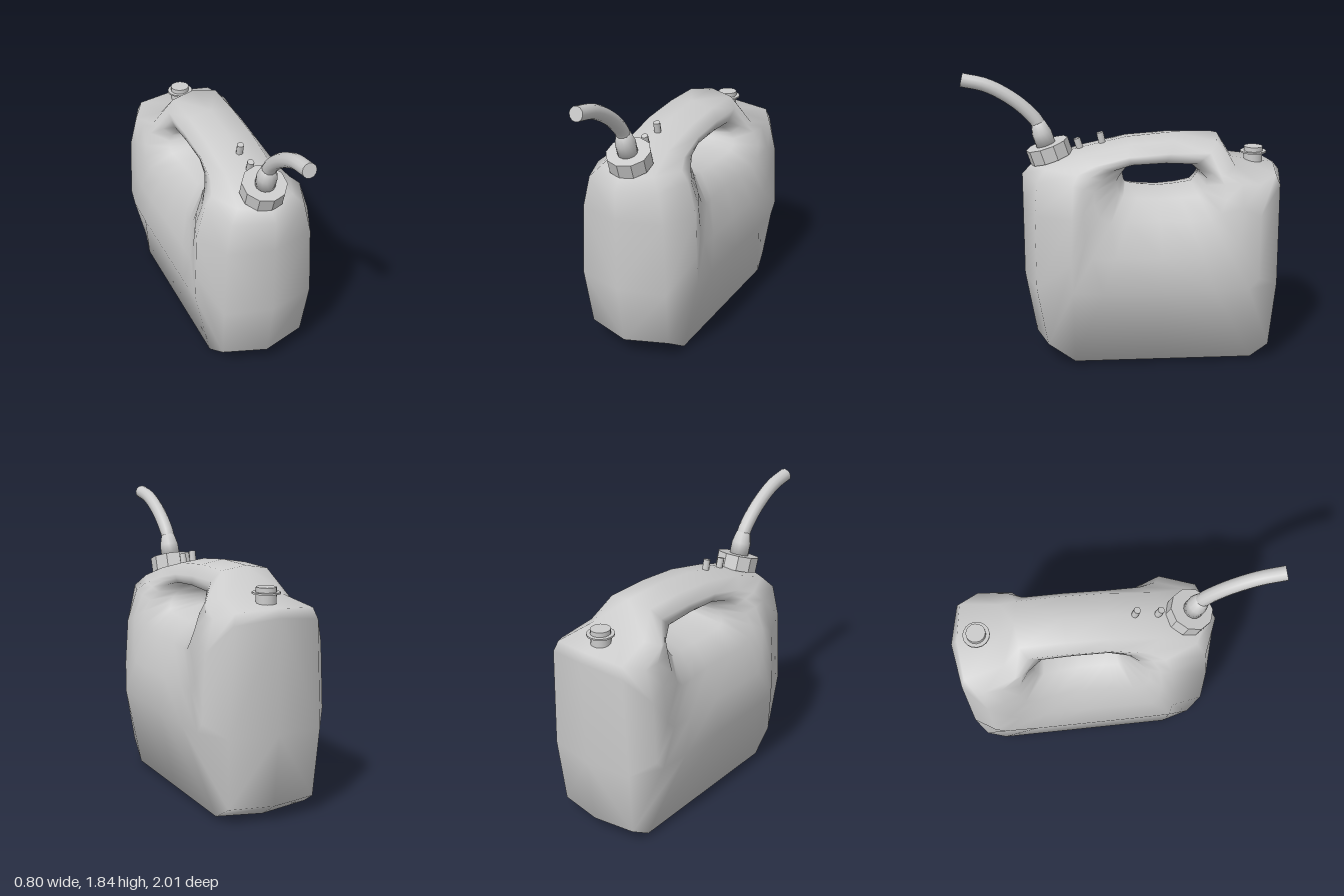
import * as THREE from 'three';

const material = new THREE.MeshStandardMaterial({ color: 0xcccccc });
const flatMaterial = new THREE.MeshStandardMaterial({ color: 0xcccccc, flatShading: true });

// Body guide loops seen from the side, all starting at the bottom middle and
// running forward, up, back and down. Spine and hole are [z, y]; others [z, y, half width].
const spine = [
  [-0.22, 0], [0.36, 0], [0.575, 0.12], [0.645, 0.53], [0.645, 1], [0.645, 1.2],
  [0.59, 1.26], [0.3, 1.36], [-0.02, 1.43], [-0.3, 1.455], [-0.59, 1.45],
  [-0.69, 1.29], [-0.96, 1.25], [-1, 1.2], [-1, 0.53], [-0.955, 0.09], [-0.82, 0],
];
const shoulder = [
  [-0.22, 0.025, 0.3], [0.33, 0.025, 0.3], [0.5, 0.14, 0.28], [0.565, 0.53, 0.3],
  [0.565, 1, 0.28], [0.55, 1.2, 0.24], [0.5, 1.27, 0.18], [0.28, 1.345, 0.15],
  [-0.02, 1.41, 0.15], [-0.3, 1.43, 0.15], [-0.57, 1.425, 0.15], [-0.68, 1.28, 0.2],
  [-0.93, 1.235, 0.25], [-0.955, 1.17, 0.27], [-0.955, 0.53, 0.3], [-0.92, 0.1, 0.28],
  [-0.8, 0.025, 0.3],
];
const side = [
  [-0.22, 0.52, 0.4], [0.15, 0.52, 0.4], [0.34, 0.53, 0.4], [0.35, 0.72, 0.395],
  [0.34, 1, 0.38], [0.33, 1.2, 0.32], [0.3, 1.25, 0.26], [0.2, 1.29, 0.22],
  [-0.02, 1.34, 0.2], [-0.28, 1.36, 0.2], [-0.53, 1.36, 0.2], [-0.62, 1.25, 0.28],
  [-0.82, 1.19, 0.33], [-0.82, 1, 0.38], [-0.82, 0.6, 0.4], [-0.76, 0.53, 0.4],
  [-0.55, 0.52, 0.4],
];
const recess = [
  [-0.22, 0.95, 0.3], [0, 0.95, 0.31], [0.1, 0.96, 0.33], [0.17, 1, 0.33],
  [0.2, 1.08, 0.32], [0.2, 1.15, 0.28], [0.15, 1.21, 0.24], [0.08, 1.26, 0.21],
  [-0.04, 1.29, 0.19], [-0.25, 1.3, 0.19], [-0.45, 1.29, 0.19], [-0.54, 1.24, 0.24],
  [-0.6, 1.19, 0.31], [-0.61, 1.1, 0.345], [-0.58, 1.02, 0.36], [-0.52, 0.97, 0.35],
  [-0.4, 0.95, 0.32],
];
const hole = [
  [-0.22, 1.11], [-0.1, 1.12], [-0.01, 1.135], [0, 1.15], [0.005, 1.175], [0.01, 1.2],
  [-0.01, 1.23], [-0.03, 1.26], [-0.05, 1.28], [-0.23, 1.285], [-0.4, 1.275],
  [-0.44, 1.24], [-0.478, 1.2], [-0.465, 1.18], [-0.45, 1.16], [-0.43, 1.135],
  [-0.33, 1.12],
];

const mix = (a, b, t) => a + (b - a) * t;

// Closed cross-section at one station: spine, right round to the hole, and back mirrored
function section(i) {
  const f = side[i], m = recess[i], h = hole[i];
  const panel = [mix(f[0], m[0], 0.5), mix(f[1], m[1], 0.5), mix(f[2], m[2], 0.35)];
  const lip = [mix(h[0], m[0], 0.25), mix(h[1], m[1], 0.25), m[2] * 0.62];
  const half = [shoulder[i], f, panel, m, lip];
  const mirrored = half.map(([z, y, x]) => [z, y, -x]).reverse();
  return [[...spine[i], 0], ...half, [...h, 0], ...mirrored];
}

function bodyGeometry() {
  const sections = spine.map((_, i) => section(i));
  const n = sections.length, k = sections[0].length;
  const positions = [], index = [];
  for (const loop of sections) for (const [z, y, x] of loop) positions.push(x, y, z);
  for (let i = 0; i < n; i++) {
    for (let j = 0; j < k; j++) {
      const i2 = (i + 1) % n, j2 = (j + 1) % k;
      const a = i * k + j, b = i2 * k + j, c = i2 * k + j2, d = i * k + j2;
      // Diagonals mirror across the centre plane
      if (j < k / 2) index.push(a, d, c, a, c, b);
      else index.push(a, d, b, d, c, b);
    }
  }
  const geometry = new THREE.BufferGeometry();
  geometry.setAttribute('position', new THREE.Float32BufferAttribute(positions, 3));
  geometry.setIndex(index);
  geometry.computeVertexNormals();
  return geometry;
}

export function createModel() {
  const model = new THREE.Group();
  const add = (name, geometry, y = 0, z = 0, tilt = 0, mat = material) => {
    const mesh = new THREE.Mesh(geometry, mat);
    mesh.name = name;
    mesh.position.set(0, y, z);
    mesh.rotation.x = tilt;
    model.add(mesh);
    return mesh;
  };

  // Canister with its built-in handle
  add('body', bodyGeometry());

  // Screw collar and spout socket, tilted forward on the neck
  const tilt = 0.32;
  add('spoutCollar', new THREE.CylinderGeometry(0.138, 0.138, 0.095, 10), 1.345, 0.47, tilt, flatMaterial);
  const socket = [[0, 0], [0.062, 0], [0.062, 0.08], [0.044, 0.15], [0, 0.15]];
  add('spoutSocket', new THREE.LatheGeometry(socket.map(([r, y]) => new THREE.Vector2(r, y)), 14), 1.385, 0.49, tilt);

  // Curved pouring spout, closed at its end
  const path = new THREE.CatmullRomCurve3(
    [[1.47, 0.515], [1.53, 0.54], [1.61, 0.61], [1.69, 0.71], [1.765, 0.85], [1.8, 1]]
      .map(([y, z]) => new THREE.Vector3(0, y, z)));
  add('spout', new THREE.TubeGeometry(path, 14, 0.044, 12, false));
  const end = path.getTangent(1);
  add('spoutEnd', new THREE.CircleGeometry(0.044, 12), 1.8, 1, -Math.atan2(end.y, end.z));

  // Two small pegs on top of the handle
  for (const [y, z, lean] of [[1.385, 0.285, 0.3], [1.42, 0.142, 0.22]]) {
    add('peg', new THREE.CylinderGeometry(0.022, 0.022, 0.08, 8), y, z, lean);
  }

  // Rear vent plug with a thin flange
  add('ventPlug', new THREE.CylinderGeometry(0.06, 0.06, 0.125, 16), 1.293, -0.83);
  add('ventFlange', new THREE.CylinderGeometry(0.083, 0.083, 0.01, 16), 1.322, -0.83);

  return model;
}
